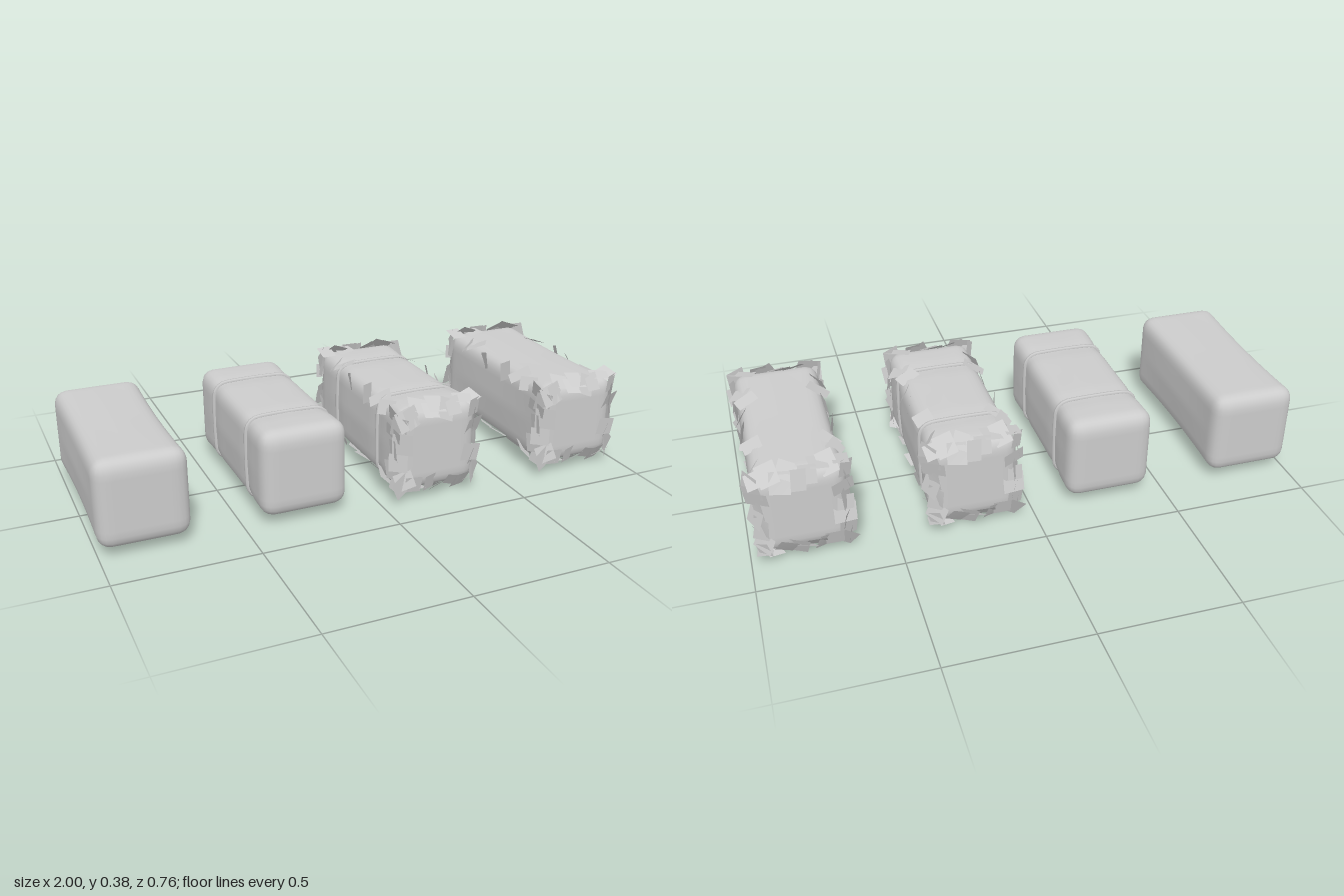
import * as THREE from 'three';
import { mergeGeometries, mergeVertices } from 'three/addons/utils/BufferGeometryUtils.js';

const HALF = 0.157, LENGTH = 0.361, ROUND = 0.048; // bale half width, half length, edge radius
const BANDS = [0.182, -0.182];
const grey = new THREE.MeshStandardMaterial({ color: 0xcccccc, roughness: 0.9 });
const thin = new THREE.MeshStandardMaterial({ color: 0xcccccc, roughness: 0.9, side: THREE.DoubleSide });

function seeded(seed) {
  return () => {
    seed = (seed * 16807) % 2147483647;
    return seed / 2147483647;
  };
}

// Soft rounded block: long edges sag towards the middle, sides pinch under the bands
function baleGeometry(banded) {
  const box = new THREE.BoxGeometry(HALF * 2, HALF * 2, LENGTH * 2, 14, 14, 40);
  box.deleteAttribute('uv');
  box.deleteAttribute('normal');
  const geometry = mergeVertices(box);
  const pos = geometry.attributes.position;
  const p = new THREE.Vector3(), core = new THREE.Vector3();
  const inner = new THREE.Vector3(HALF - ROUND, HALF - ROUND, LENGTH - ROUND);
  for (let i = 0; i < pos.count; i++) {
    p.fromBufferAttribute(pos, i);
    core.copy(p).clamp(inner.clone().negate(), inner);
    p.sub(core);
    p.setLength(ROUND).add(core);
    const corner = Math.abs(p.x * p.y) / (HALF * HALF);
    const middle = Math.max(0, 1 - (p.z / 0.33) ** 2);
    let scale = 1 - 0.05 * corner * middle;
    if (banded) {
      for (const z of BANDS) scale -= 0.03 * Math.exp(-(((p.z - z) / 0.04) ** 2));
      scale += 0.015 * middle;
    }
    pos.setXYZ(i, p.x * scale, p.y * scale, p.z);
  }
  geometry.computeVertexNormals();
  return geometry;
}

// Twine loop following the rounded square section
function bandGeometry() {
  const points = [], r = 0.05, h = 0.152;
  for (let k = 0; k < 4; k++) {
    for (let j = 0; j <= 4; j++) {
      const a = (k + j / 4) * Math.PI / 2, mid = (k + 0.5) * Math.PI / 2;
      points.push(new THREE.Vector3(
        Math.sign(Math.cos(mid)) * (h - r) + r * Math.cos(a),
        Math.sign(Math.sin(mid)) * (h - r) + r * Math.sin(a), 0));
    }
  }
  return new THREE.TubeGeometry(new THREE.CatmullRomCurve3(points, true, 'centripetal'), 64, 0.008, 6, true);
}

// Loose straw flakes: dense around both ends, sparse along the four long edges
function flakeGeometry() {
  const random = seeded(4711);
  const spread = (a) => (random() * 2 - 1) * a;
  const flakes = [];
  const zAxis = new THREE.Vector3(0, 0, 1);
  const limit = new THREE.Vector3(0.19, 0.195, 0.38);

  function addFlake(point, normal, turn) {
    const flake = new THREE.PlaneGeometry(0.05 + random() * 0.03, 0.055 + random() * 0.03);
    flake.rotateZ(spread(0.4));
    flake.rotateX(spread(0.4));
    flake.rotateY(spread(0.35));
    flake.applyQuaternion(new THREE.Quaternion().setFromUnitVectors(zAxis, normal));
    flake.translate(...point.addScaledVector(normal, 0.006).toArray());
    flake.rotateZ(turn);
    const pos = flake.attributes.position, v = new THREE.Vector3();
    for (let i = 0; i < pos.count; i++) {
      v.fromBufferAttribute(pos, i).clamp(limit.clone().negate(), limit);
      pos.setXYZ(i, v.x, v.y, v.z);
    }
    flake.computeVertexNormals();
    flakes.push(flake);
  }

  for (let side = 0; side < 4; side++) {
    const turn = side * Math.PI / 2;
    for (const end of [1, -1]) {
      for (let i = 0; i < 9; i++) {
        const a = 0.3 + random() * 1.15;
        const normal = new THREE.Vector3(0, Math.sin(a), end * Math.cos(a));
        const point = new THREE.Vector3(-0.136 + i * 0.034 + spread(0.008), HALF - ROUND, end * (LENGTH - ROUND));
        addFlake(point.addScaledVector(normal, ROUND), normal, turn);
      }
    }
    for (let i = 0; i < 6; i++) {
      const a = Math.PI / 4 + spread(0.5);
      const normal = new THREE.Vector3(Math.cos(a), Math.sin(a), 0);
      const point = new THREE.Vector3(HALF - ROUND, HALF - ROUND, -0.25 + i * 0.1 + spread(0.04));
      addFlake(point.addScaledVector(normal, ROUND - 0.008), normal, turn);
    }
  }
  return mergeGeometries(flakes);
}

export function createModel() {
  const model = new THREE.Group();
  model.name = 'hayBales';
  const plain = baleGeometry(false), tied = baleGeometry(true);
  const band = bandGeometry(), straw = flakeGeometry();

  const bales = [
    { name: 'plainBale', x: -0.843, banded: false, loose: false },
    { name: 'tiedBale', x: -0.285, banded: true, loose: false },
    { name: 'tiedStrawBale', x: 0.218, banded: true, loose: true },
    { name: 'strawBale', x: 0.81, banded: false, loose: true },
  ];
  for (const { name, x, banded, loose } of bales) {
    const bale = new THREE.Group();
    bale.name = name;
    bale.position.set(x, 0.195, -0.006);
    const add = (geometry, material, part) => {
      const mesh = new THREE.Mesh(geometry, material);
      mesh.name = part;
      bale.add(mesh);
      return mesh;
    };
    add(banded ? tied : plain, grey, 'baleBody');
    if (banded) BANDS.forEach((z, i) => { add(band, grey, i ? 'backBand' : 'frontBand').position.z = z; });
    if (loose) add(straw, thin, 'looseStraw');
    model.add(bale);
  }
  return model;
}
